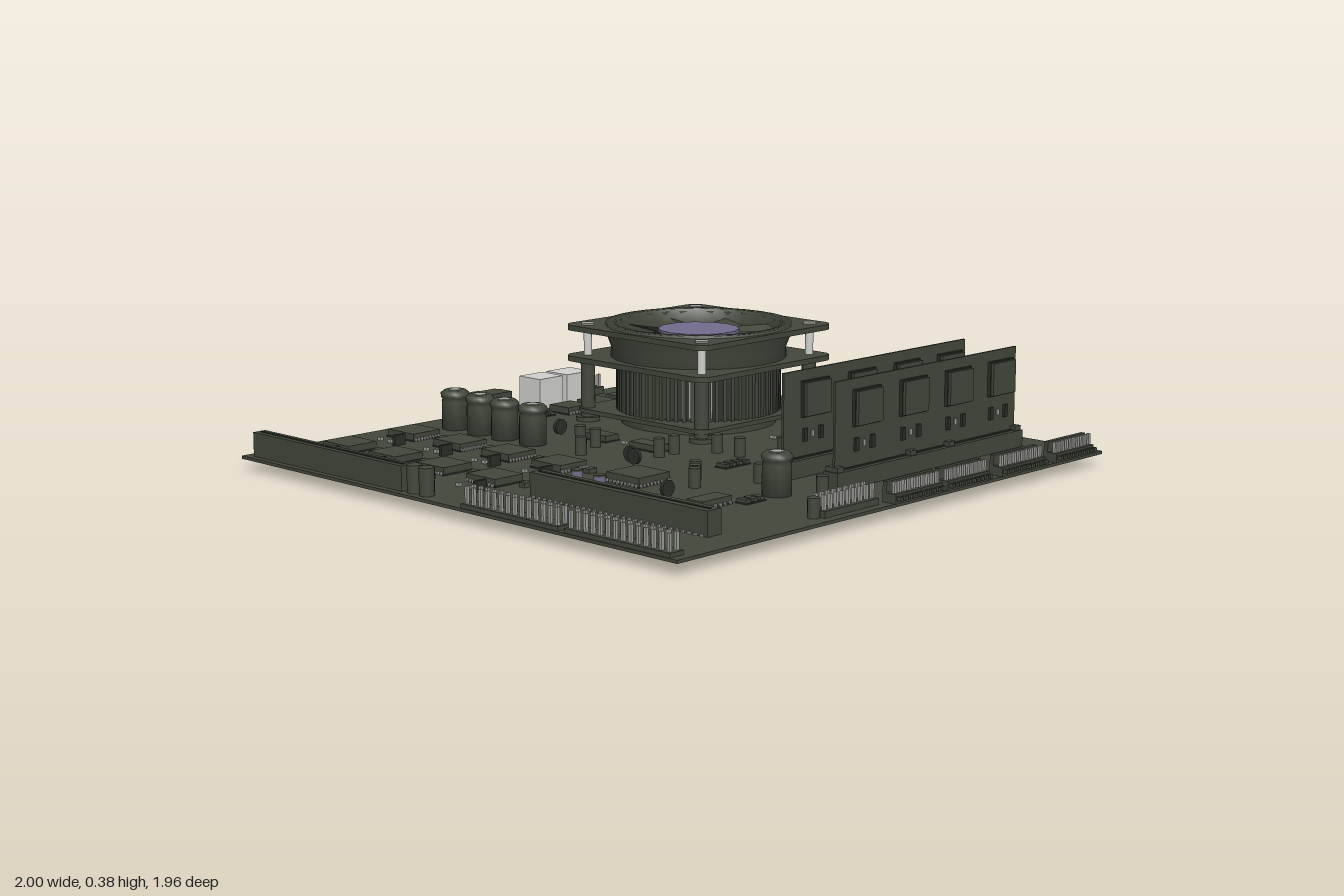
import * as THREE from 'three';

export function createModel() {
  const model = new THREE.Group();
  const colour = (name, hex, side = THREE.FrontSide) => {
    const m = new THREE.MeshStandardMaterial({ color: hex, side });
    m.name = name;
    return m;
  };
  const green = colour('dark green', 0x42473b, THREE.DoubleSide);
  const dark = colour('shadow green', 0x2b2f27);
  const silver = colour('silver', 0x9c9e98);
  const white = colour('socket white', 0xd0d0ce);
  const purple = colour('dusty purple', 0x736b8c);
  const TOP = 0.045; // upper face of the board

  const add = (name, geo, mat, x = 0, y = 0, z = 0, parent = model) => {
    const m = new THREE.Mesh(geo, mat);
    m.name = name;
    m.position.set(x, y, z);
    parent.add(m);
    return m;
  };
  // box from its limits
  const box = (name, mat, x0, x1, y0, y1, z0, z1, parent = model) =>
    add(name, new THREE.BoxGeometry(x1 - x0, y1 - y0, z1 - z0), mat,
      (x0 + x1) / 2, (y0 + y1) / 2, (z0 + z1) / 2, parent);
  // upright cylinder standing between two heights
  const post = (name, mat, x, z, r, y0, y1, parent = model, sides = 12) =>
    add(name, new THREE.CylinderGeometry(r, r, y1 - y0, sides), mat, x, (y0 + y1) / 2, z, parent);
  // flat chip with optional legs along its x and z sides
  const chip = (name, x, z, w, d, h = 0.022, legsX = 0, legsZ = 0) => {
    const g = new THREE.Group();
    g.name = name;
    g.position.set(x, TOP, z);
    model.add(g);
    box('chipBody', green, -w / 2, w / 2, 0.004, h, -d / 2, d / 2, g);
    box('chipShadowGap', dark, -w / 2 - 0.003, w / 2 + 0.003, 0, 0.004, -d / 2 - 0.003, d / 2 + 0.003, g);
    for (const s of [-1, 1]) {
      for (let i = 0; i < legsX; i++)
        add('chipLeg', new THREE.BoxGeometry(0.006, 0.01, 0.016), silver, ((i + 0.5) / legsX - 0.5) * w, 0.006, s * d / 2, g);
      for (let i = 0; i < legsZ; i++)
        add('chipLeg', new THREE.BoxGeometry(0.016, 0.01, 0.006), silver, s * w / 2, 0.006, ((i + 0.5) / legsZ - 0.5) * d, g);
    }
  };

  box('circuitBoard', green, -0.94, 0.98, 0.035, TOP, -0.985, 0.978);

  // ---- Cooler: fan, heat sink, posts and underside bracket ----
  const cooler = new THREE.Group();
  cooler.name = 'cooler';
  cooler.position.set(-0.305, 0, -0.46);
  model.add(cooler);
  const flange = (name, half, hole, y, depth) => {
    const r = 0.05, s = new THREE.Shape();
    [[1, 1, 0], [-1, 1, 1], [-1, -1, 2], [1, -1, 3]].forEach(([sx, sy, k]) =>
      s.absarc(sx * (half - r), sy * (half - r), r, k * Math.PI / 2, (k + 1) * Math.PI / 2, false));
    s.holes.push(new THREE.Path().absarc(0, 0, hole, 0, Math.PI * 2, true));
    const g = new THREE.ExtrudeGeometry(s, { depth, bevelEnabled: false, curveSegments: 12 });
    g.rotateX(-Math.PI / 2);
    add(name, g, green, 0, y, 0, cooler);
  };
  flange('fanTopFlange', 0.327, 0.285, 0.357, 0.018);
  flange('fanBottomFlange', 0.327, 0.285, 0.252, 0.018);
  flange('heatSinkFrame', 0.3, 0.25, 0.075, 0.015);
  const duct = [[0.285, 0.26], [0.3, 0.26], [0.296, 0.3], [0.315, 0.35], [0.315, 0.383], [0.285, 0.383], [0.278, 0.32], [0.285, 0.26]];
  add('fanDuct', new THREE.LatheGeometry(duct.map(p => new THREE.Vector2(...p)), 32), green, 0, 0, 0, cooler);
  post('fanHub', purple, 0, 0, 0.138, 0.275, 0.36, cooler, 14);
  // pitched fan blades
  const BLADES = 9;
  for (let b = 0; b < BLADES; b++) {
    const g = new THREE.PlaneGeometry(1, 1, 5, 2), p = g.attributes.position;
    for (let i = 0; i < p.count; i++) {
      const u = p.getX(i) + 0.5, v = p.getY(i) + 0.5, r = 0.13 + 0.148 * v;
      const a = (b + u * 0.98 + v * 0.15) / BLADES * Math.PI * 2;
      p.setXYZ(i, Math.cos(a) * r, 0.352 - 0.06 * u, Math.sin(a) * r);
    }
    g.computeVertexNormals();
    add('fanBlade', g, green, 0, 0, 0, cooler);
  }
  post('fanFloor', dark, 0, 0, 0.284, 0.253, 0.262, cooler, 32);
  // finned heat sink
  post('heatSinkCore', silver, 0, 0, 0.235, 0.05, 0.252, cooler, 24);
  for (let i = 0; i < 64; i++) {
    const a = i / 64 * Math.PI * 2, r = 0.245;
    const f = add('heatSinkFin', new THREE.BoxGeometry(0.07, 0.16, 0.012), green, Math.cos(a) * r, 0.17, Math.sin(a) * r, cooler);
    f.rotation.y = -a;
  }
  post('heatSinkBase', green, 0, 0, 0.265, TOP, 0.092, cooler, 32);
  post('undersidePlate', green, 0, 0, 0.27, 0.022, 0.036, cooler, 32);
  for (const sx of [-1, 1]) for (const sz of [-1, 1]) {
    const x = sx * 0.265, z = sz * 0.265;
    post('coolerPost', green, x, z, 0.025, TOP, 0.255, cooler);
    post('postFoot', green, x, z, 0.042, TOP, 0.06, cooler);
    post('fanSpacer', white, x, z, 0.014, 0.268, 0.36, cooler);
    const screw = add('fanScrew', new THREE.BoxGeometry(0.042, 0.006, 0.042), silver, x, 0.377, z, cooler);
    screw.rotation.y = Math.PI / 4;
    post('undersideFoot', dark, x, z, 0.022, 0, 0.035, cooler);
    const tab = add('undersideTab', new THREE.BoxGeometry(0.16, 0.013, 0.09), green, sx * 0.237, 0.0285, sz * 0.237, cooler);
    tab.rotation.y = -sx * sz * Math.PI / 4;
  }

  // ---- Memory slots and modules ----
  for (const x of [0.52, 0.725]) {
    box('memorySlot', green, x - 0.028, x + 0.028, TOP, 0.1, -0.865, 0.055);
    box('memorySlotGroove', dark, x - 0.012, x + 0.012, 0.1, 0.104, -0.85, 0.04);
    for (const z of [-0.845, -0.5, -0.31, 0.035])
      box('memoryLatch', green, x - 0.024, x + 0.024, 0.1, 0.115, z - 0.015, z + 0.015);
    box('memoryBoard', green, x - 0.004, x + 0.004, 0.08, 0.372, -0.85, 0.04);
    for (const z of [-0.1, -0.322, -0.545, -0.765]) {
      box('memoryChip', green, x - 0.026, x + 0.026, 0.23, 0.335, z - 0.058, z + 0.058);
      box('memoryChipLegs', dark, x - 0.016, x + 0.016, 0.226, 0.339, z - 0.061, z + 0.061);
      for (const d of [-0.03, 0.045]) box('memoryResistor', dark, x - 0.013, x + 0.013, 0.15, 0.19, z + d - 0.008, z + d + 0.008);
      box('memoryContact', silver, x - 0.008, x + 0.008, 0.16, 0.18, z, z + 0.012);
    }
  }

  // ---- Expansion slots ----
  const slot = (x0, x1, z0, z1, y1) => {
    const zm = (z0 + z1) / 2;
    box('expansionSlot', green, x0, x1, TOP, y1, z0, z1);
    box('slotGroove', dark, x0 + 0.015, x1 - 0.015, y1, y1 + 0.002, zm - 0.006, zm + 0.006);
  };
  slot(-0.905, -0.18, 0.91, 0.957, 0.123);
  slot(0.145, 0.865, 0.682, 0.738, 0.12);
  for (let i = 0; i < 30; i++)
    box('slotLeg', silver, 0.16 + i * 0.0235, 0.167 + i * 0.0235, TOP, 0.052, 0.674, 0.746);

  // ---- Pin headers: base, walls and rows of pins ----
  const header = (x0, x1, z0, z1, nx, nz, base, tip) => {
    box('headerBase', green, x0, x1, TOP, base, z0, z1);
    for (let i = 0; i < nx; i++) for (let j = 0; j < nz; j++) {
      const x = x0 + (i + 0.5) / nx * (x1 - x0), z = z0 + (j + 0.5) / nz * (z1 - z0);
      box('headerPin', silver, x - 0.005, x + 0.005, base, tip, z - 0.005, z + 0.005);
    }
  };
  header(0.105, 0.515, 0.92, 0.975, 14, 2, 0.058, 0.11);
  header(0.54, 0.95, 0.92, 0.975, 14, 2, 0.058, 0.11);
  header(0.885, 0.95, 0.1, 0.34, 2, 9, 0.065, 0.11);
  for (const x of [-0.845, -0.688, -0.538, 0.29, 0.445]) {
    header(x - 0.058, x + 0.058, -0.97, -0.925, 5, 1, 0.07, 0.105);
    box('headerWall', green, x - 0.058, x + 0.058, TOP, 0.1, -0.931, -0.92);
    for (let i = -2; i <= 2; i++) box('edgePin', silver, x + i * 0.022 - 0.005, x + i * 0.022 + 0.005, 0.06, 0.07, -0.985, -0.965);
  }
  header(-0.94, -0.88, -0.575, -0.47, 2, 4, 0.07, 0.115);
  for (const [z0, z1] of [[-0.93, -0.73], [-0.67, -0.45], [-0.385, -0.18], [-0.155, 0.065]]) {
    box('sideConnector', green, 0.935, 0.985, TOP, 0.075, z0, z1);
    box('sideConnectorWall', green, 0.935, 0.95, 0.075, 0.108, z0, z1);
    for (let i = 0; i < 10; i++) {
      const z = z0 + (i + 0.5) / 10 * (z1 - z0);
      box('sideConnectorPin', silver, 0.965, 0.975, 0.075, 0.11, z - 0.005, z + 0.005);
      box('sideConnectorTail', green, 0.98, 1, 0.055, 0.068, z - 0.006, z + 0.006);
    }
  }

  // ---- Side ports ----
  for (const [z0, z1] of [[-0.445, -0.33], [-0.31, -0.2]]) box('whitePort', white, -0.92, -0.815, TOP, 0.152, z0, z1);
  box('serialPortBody', green, -0.935, -0.87, TOP, 0.115, -0.12, 0.1);
  box('serialPortPlate', green, -0.95, -0.935, 0.05, 0.115, -0.11, 0.09);
  box('serialPortShell', silver, -1, -0.95, 0.057, 0.105, -0.08, 0.07);
  for (const z of [-0.1, 0.08]) box('serialPortNut', silver, -0.965, -0.95, 0.07, 0.09, z - 0.01, z + 0.01);

  // ---- Chips ----
  for (const x of [-0.78, -0.55, -0.32, -0.085]) for (const z of [0.4, 0.67]) {
    chip('memoryControllerChip', x, z, 0.13, 0.115, 0.025, z > 0.5 ? 9 : 0, z > 0.5 ? 0 : 9);
    box('smallChip', green, x + 0.108, x + 0.132, TOP, 0.06, z - 0.035, z);
    for (const d of [-0.03, 0.02]) box('solderPad', silver, x + d - 0.008, x + d + 0.008, TOP, 0.056, z + 0.112, z + 0.124);
    box('ceramicDisc', dark, x + 0.064, x + 0.076, TOP, 0.08, z + 0.1, z + 0.145);
  }
  for (const z of [-0.65, -0.525, -0.387, -0.255]) chip('portChip', -0.725, z, 0.095, 0.1, 0.025, 0, 7);
  chip('mainChip', 0.225, 0.365, 0.14, 0.135, 0.03, 9, 9);
  chip('clockChip', 0.6, 0.45, 0.065, 0.125, 0.025, 0, 6);
  chip('bridgeChip', -0.315, 0.005, 0.125, 0.06);
  chip('bridgeChip', -0.08, 0.005, 0.125, 0.06);
  // stacks and rows of small resistors: x, z, step x, step z, count
  for (const [x, z, dx, dz, n] of [[0.38, -0.855, 0, 0.03, 4], [0.25, -0.675, 0, 0.03, 4], [0.28, -0.045, 0, 0.03, 4],
    [0.32, -0.3, 0.03, 0, 4], [0.2, -0.37, 0.03, 0, 2], [-0.725, -0.83, 0.04, 0, 2], [-0.73, -0.16, 0, 0.03, 4], [0.655, 0.3, 0, 0.03, 3]])
    for (let i = 0; i < n; i++)
      chip('resistor', x + dx * i, z + dz * i, dx ? 0.022 : 0.04, dx ? 0.045 : 0.02, 0.014);

  // ---- Capacitors ----
  const canProfile = [[0, 0], [0.045, 0], [0.045, 0.095], [0.041, 0.102], [0.048, 0.11], [0.048, 0.122], [0.036, 0.132], [0, 0.132]];
  const can = new THREE.LatheGeometry(canProfile.map(p => new THREE.Vector2(...p)), 14);
  for (const [x, z] of [[-0.785, 0.215], [-0.66, 0.215], [-0.54, 0.215], [-0.41, 0.21], [0.18, -0.81], [0.65, 0.21]]) {
    add('largeCapacitor', can, green, x, TOP, z);
    post('capacitorCap', silver, x, z, 0.022, 0.176, 0.179);
  }
  for (const [x, z] of [[0.29, -0.225], [0.2, -0.118], [0.107, -0.112], [0.5, 0.12], [0.555, 0.12], [0.75, 0.12], [-0.305, 0.097],
    [-0.235, 0.097], [0.02, -0.005], [0.02, 0.064], [-0.18, 0.215], [0.375, 0.272], [0.405, 0.305], [0.92, 0.355], [0.337, 0.23]])
    post('smallCapacitor', green, x, z, 0.019, TOP, 0.105);
  for (const x of [-0.145, -0.09]) post('edgeCapacitor', green, x, 0.935, 0.024, TOP, 0.13);
  for (const [x, z] of [[0.182, 0.58], [0.283, 0.585]]) {
    post('purpleCapacitor', purple, x, z, 0.018, TOP, 0.105);
    post('purpleCapacitorTop', green, x, z, 0.019, 0.105, 0.11);
  }
  // standing ceramic discs: x, z, turned
  for (const [x, z, t] of [[-0.445, 0.055, 1], [0.06, 0.215, 0], [0.025, 0.198, 0], [0.19, -0.71, 0], [0.295, -0.71, 0], [0.085, -0.52, 0],
    [0.28, -0.52, 0], [0.19, -0.44, 0], [0.45, 0.47, 1], [0.31, 0.64, 0]]) {
    const d = add('ceramicDisc', new THREE.CylinderGeometry(0.026, 0.026, 0.012, 12), dark, x, 0.075, z);
    d.rotation.set(Math.PI / 2, 0, t ? Math.PI / 2 : 0);
  }
  // solder pads
  for (const [x, z] of [[-0.145, -0.945], [-0.46, -0.895], [-0.395, -0.895], [-0.335, -0.895], [0.12, -0.915], [0.09, -0.4], [-0.2, 0]])
    box('solderPad', silver, x - 0.01, x + 0.01, TOP, 0.055, z - 0.006, z + 0.006);
  return model;
}
